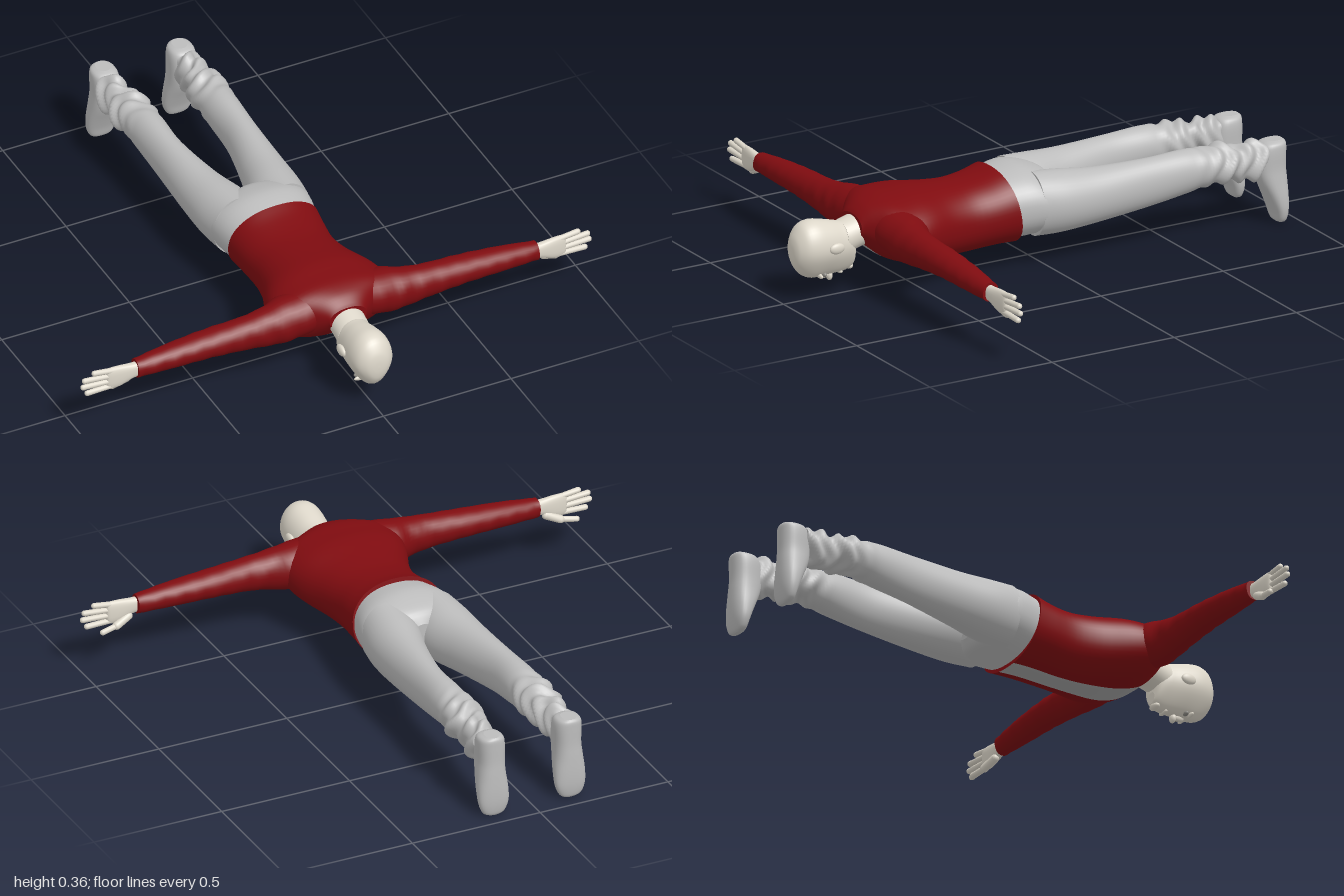
import * as THREE from 'three';

const material = (name, color) => Object.assign(new THREE.MeshStandardMaterial({ color }), { name });

// Catmull-Rom blend of whole table rows, giving a smooth run of cross-sections
function smoothRows(rows, steps) {
  const out = [];
  const at = (i) => rows[Math.min(Math.max(i, 0), rows.length - 1)];
  for (let i = 0; i < rows.length - 1; i++) {
    for (let k = 0; k < steps; k++) {
      const t = k / steps;
      out.push(at(i).map((b, c) => {
        const a = at(i - 1)[c], d = at(i + 1)[c], e = at(i + 2)[c];
        return b + 0.5 * t * (d - a + t * (2 * a - 5 * b + 4 * d - e + t * (3 * (b - d) + e - a)));
      }));
    }
  }
  out.push(rows[rows.length - 1]);
  return out;
}

// Loft through rows [s, a0, a1, b0, b1]: s runs along the axis, a and b bound each section.
// power < 1 squares the section; strip(j) picks columns for a second material; bend moves points.
function loft(axis, rows, { n = 32, steps = 4, power = 1, strip = () => false, bend = null } = {}) {
  const place = {
    x: (s, a, b) => new THREE.Vector3(s, a, b),
    y: (s, a, b) => new THREE.Vector3(b, s, a),
    z: (s, a, b) => new THREE.Vector3(a, b, s),
  }[axis];
  const round = (v) => Math.sign(v) * Math.abs(v) ** power;
  const rings = smoothRows(rows, steps);
  const pos = [], main = [], second = [];
  const add = (p) => pos.push(p.x, p.y, p.z) / 3 - 1;
  const addRing = ([s, a0, a1, b0, b1]) => {
    const start = pos.length / 3;
    for (let j = 0; j < n; j++) {
      const t = (j / n) * Math.PI * 2;
      const p = place(s, (a0 + a1) / 2 + (a1 - a0) / 2 * round(Math.cos(t)),
        (b0 + b1) / 2 + (b1 - b0) / 2 * round(Math.sin(t)));
      if (bend) bend(p, t);
      add(p);
    }
    return start;
  };
  const starts = rings.map(addRing);
  for (let i = 0; i < starts.length - 1; i++) {
    for (let j = 0; j < n; j++) {
      const k = (j + 1) % n, p = starts[i], q = starts[i + 1];
      (strip(j) ? second : main).push(p + j, p + k, q + k, p + j, q + k, q + j);
    }
  }
  // End caps with their own vertices so the rims stay sharp
  [rings[0], rings[rings.length - 1]].forEach((r, end) => {
    const start = addRing(r);
    const c = place(r[0], (r[1] + r[2]) / 2, (r[3] + r[4]) / 2);
    if (bend) bend(c, 0);
    const mid = add(c);
    for (let j = 0; j < n; j++) {
      const k = (j + 1) % n;
      if (end) main.push(mid, start + j, start + k);
      else main.push(mid, start + k, start + j);
    }
  });
  const g = new THREE.BufferGeometry();
  g.setAttribute('position', new THREE.Float32BufferAttribute(pos, 3));
  g.setIndex([...main, ...second]);
  if (second.length) {
    g.addGroup(0, main.length, 0);
    g.addGroup(main.length, second.length, 1);
  }
  g.computeVertexNormals();
  return g;
}

function mirrored(geometry) {
  const g = geometry.clone().scale(-1, 1, 1);
  const idx = g.index.array;
  for (let i = 0; i < idx.length; i += 3) [idx[i], idx[i + 1]] = [idx[i + 1], idx[i]];
  g.computeVertexNormals();
  return g;
}

function finger(from, to, radius) {
  const a = new THREE.Vector3(...from), b = new THREE.Vector3(...to);
  const dir = b.clone().sub(a);
  const g = new THREE.CapsuleGeometry(radius, dir.length() - radius, 5, 12);
  g.applyQuaternion(new THREE.Quaternion().setFromUnitVectors(new THREE.Vector3(0, 1, 0), dir.normalize()));
  const c = a.add(b).multiplyScalar(0.5);
  return g.translate(c.x, c.y, c.z);
}

const blob = (x, y, z, sx, sy, sz) =>
  new THREE.SphereGeometry(1, 20, 14).scale(sx, sy, sz).translate(x, y, z);

export function createModel() {
  const model = new THREE.Group();
  model.name = 'lyingFigure';
  const red = material('jacketRed', 0x800c10);
  const grey = material('trouserGrey', 0xbcbcbc);
  const shirt = material('shirtGrey', 0xa4a4a4);
  const skin = material('skin', 0xddd7ca);
  const eye = material('eyeGrey', 0x8c8a84);

  const single = (name, geometry, mat) => {
    const mesh = new THREE.Mesh(geometry, mat);
    mesh.name = name;
    model.add(mesh);
  };
  const pair = (name, geometry, mat) => {
    single(name + 'Left', geometry, mat);
    single(name + 'Right', mirrored(geometry), mat);
  };

  // Jacket body, with the shirt showing down the open front
  const hem = (p) => { p.z += (p.y - 0.22) * 0.18 * Math.max(0, 1 - (p.z - 0.13) / 0.2); };
  single('jacket', loft('z', [
    [0.13, -0.177, 0.177, 0.083, 0.362], [0.2, -0.17, 0.17, 0.085, 0.345],
    [0.3, -0.163, 0.163, 0.08, 0.335], [0.4, -0.18, 0.18, 0.08, 0.34],
    [0.5, -0.218, 0.218, 0.086, 0.35], [0.57, -0.232, 0.232, 0.1, 0.347],
    [0.63, -0.215, 0.215, 0.125, 0.343], [0.68, -0.13, 0.13, 0.165, 0.327],
    [0.71, -0.085, 0.085, 0.195, 0.305], [0.722, -0.072, 0.072, 0.205, 0.29],
  ], { n: 56, power: 0.9, strip: (j) => j >= 40 && j <= 43, bend: hem }), [red, shirt]);

  // Sleeves
  const sleeveFold = (p, t) => { p.z += 0.003 * Math.sin(p.x * 75 + 2 * t) * Math.sin(t); };
  pair('sleeve', loft('x', [
    [0.1, 0.17, 0.325, 0.53, 0.695], [0.2, 0.15, 0.315, 0.53, 0.69],
    [0.27, 0.158, 0.302, 0.555, 0.685], [0.36, 0.17, 0.292, 0.567, 0.68],
    [0.5, 0.18, 0.282, 0.566, 0.675], [0.65, 0.182, 0.27, 0.575, 0.668],
    [0.785, 0.183, 0.254, 0.59, 0.656],
  ], { bend: sleeveFold }), red);

  // Hands: palm, four fingers and thumb
  pair('palm', loft('x', [
    [0.76, 0.19, 0.245, 0.605, 0.645], [0.8, 0.185, 0.245, 0.607, 0.643],
    [0.85, 0.165, 0.25, 0.608, 0.64], [0.89, 0.165, 0.25, 0.611, 0.636],
    [0.9, 0.18, 0.24, 0.618, 0.63],
  ], { n: 24, power: 0.8 }), skin);
  const tips = [[0.952, 0.249], [0.99, 0.228], [0.996, 0.202], [0.98, 0.172]];
  tips.forEach(([x, y], i) =>
    pair('finger' + (i + 1), finger([0.87, 0.238 - i * 0.021, 0.624], [x, y, 0.625], 0.0105), skin));
  pair('thumb', finger([0.81, 0.185, 0.617], [0.875, 0.157, 0.603], 0.015), skin);
  pair('thumbTip', finger([0.865, 0.16, 0.605], [0.932, 0.151, 0.594], 0.0105), skin);

  // Seat of the trousers
  single('trouserSeat', loft('z', [
    [-0.07, -0.05, 0.05, 0.15, 0.29], [-0.045, -0.13, 0.13, 0.12, 0.325],
    [0.0, -0.188, 0.188, 0.108, 0.345], [0.07, -0.186, 0.186, 0.1, 0.36],
    [0.15, -0.166, 0.166, 0.098, 0.348],
  ], { n: 48, power: 0.9 }), grey);

  // Trouser legs, with gathered folds towards the ankles
  const folds = (p, t) => {
    const amount = 0.009 * THREE.MathUtils.smoothstep(-p.z, 0.55, 0.72);
    const wave = Math.sin(p.z * 95 + 2.2 * Math.sin(t * 2)) + 0.5 * Math.sin(p.z * 50 + 3 * t);
    p.x += amount * wave * Math.cos(t);
    p.y += amount * wave * Math.sin(t);
  };
  pair('trouserLeg', loft('z', [
    [-0.87, 0.105, 0.195, 0.185, 0.305], [-0.82, 0.1, 0.203, 0.17, 0.315],
    [-0.77, 0.1, 0.2, 0.185, 0.31], [-0.7, 0.075, 0.217, 0.187, 0.325],
    [-0.65, 0.077, 0.213, 0.19, 0.325], [-0.55, 0.08, 0.207, 0.172, 0.333],
    [-0.4, 0.079, 0.202, 0.15, 0.328], [-0.2, 0.04, 0.204, 0.125, 0.327],
    [-0.06, 0.002, 0.203, 0.11, 0.338], [0.04, 0.0, 0.19, 0.11, 0.345],
  ], { n: 40, steps: 8, bend: folds }), grey);

  // Shoes, soles facing backwards and toes pointing down
  pair('shoe', loft('y', [
    [0.0, -0.945, -0.928, 0.13, 0.165], [0.012, -0.953, -0.915, 0.108, 0.192],
    [0.05, -0.96, -0.903, 0.093, 0.206], [0.1, -0.962, -0.882, 0.092, 0.208],
    [0.16, -0.96, -0.855, 0.098, 0.203], [0.21, -0.957, -0.845, 0.1, 0.199],
    [0.27, -0.957, -0.85, 0.1, 0.2], [0.3, -0.956, -0.862, 0.107, 0.195],
    [0.31, -0.948, -0.885, 0.125, 0.175],
  ], { power: 0.8 }), grey);

  // Neck
  single('neck', loft('z', [
    [0.62, -0.068, 0.068, 0.18, 0.3], [0.7, -0.066, 0.066, 0.165, 0.288],
    [0.77, -0.064, 0.064, 0.14, 0.27],
  ]), skin);

  // Head, narrowing towards the downturned face
  const narrowFace = (p) => { p.x *= 1 - 0.3 * THREE.MathUtils.smoothstep(0.2 - p.y, 0, 0.12); };
  single('head', loft('z', [
    [0.722, -0.025, 0.025, 0.108, 0.15], [0.73, -0.048, 0.048, 0.096, 0.21],
    [0.755, -0.064, 0.064, 0.085, 0.262], [0.79, -0.07, 0.07, 0.082, 0.274],
    [0.84, -0.077, 0.077, 0.082, 0.287], [0.89, -0.079, 0.079, 0.08, 0.296],
    [0.93, -0.07, 0.07, 0.097, 0.284], [0.955, -0.047, 0.047, 0.128, 0.25],
    [0.964, -0.025, 0.025, 0.158, 0.22], [0.966, -0.003, 0.003, 0.185, 0.192],
  ], { n: 40, power: 0.95, bend: narrowFace }), skin);

  // Face details
  pair('ear', blob(0.08, 0.2, 0.828, 0.012, 0.02, 0.03), skin);
  pair('eye', blob(0.028, 0.092, 0.85, 0.014, 0.009, 0.008), eye);
  pair('brow', blob(0.028, 0.09, 0.869, 0.022, 0.009, 0.007), skin);
  single('noseBridge', blob(0, 0.082, 0.832, 0.01, 0.014, 0.028), skin);
  single('noseTip', blob(0, 0.074, 0.813, 0.015, 0.018, 0.011), skin);
  single('lips', blob(0, 0.086, 0.774, 0.024, 0.009, 0.009), skin);
  single('chin', blob(0, 0.1, 0.737, 0.026, 0.014, 0.015), skin);

  return model;
}
